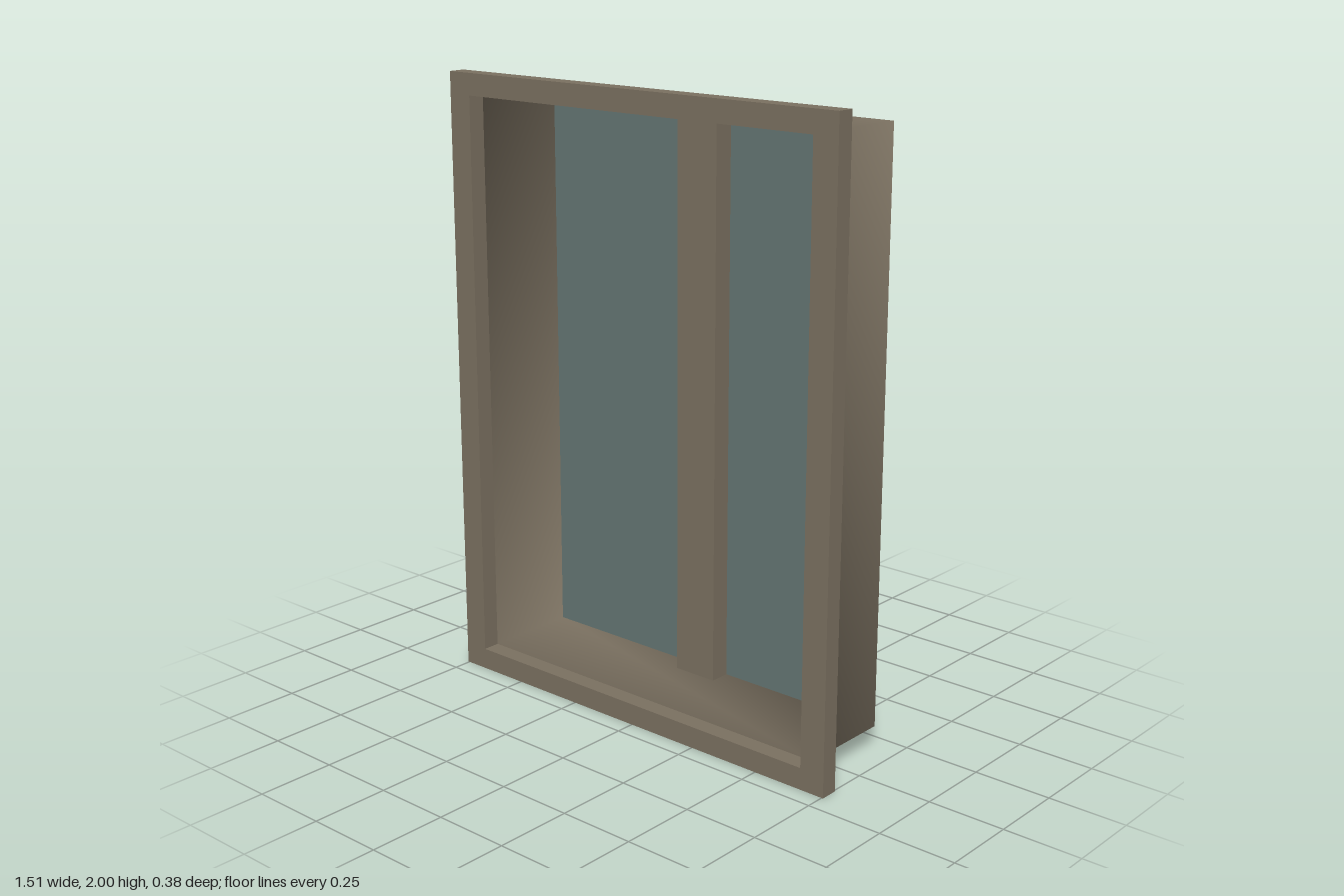
import * as THREE from 'three';

const W = 0.755, H = 1;            // half size of the outer frame
const w = 0.67, h = 0.93;          // half size of the opening
const FRONT = 0.188, LIP = 0.13, BACK = -0.188;
const POST = 0.077, POST_FRONT = -0.12;

const wood = new THREE.MeshStandardMaterial({ color: 0x7a7060, side: THREE.DoubleSide });
const pane = new THREE.MeshStandardMaterial({ color: 0x647572, side: THREE.DoubleSide });

function add(group, name, geometry, material = wood) {
  const mesh = new THREE.Mesh(geometry, material);
  mesh.name = name;
  group.add(mesh);
  return mesh;
}

// Open rectangular sleeve running from z0 (front) to z1 (back)
function sleeve(a, b, z0, z1, smooth) {
  const corners = [[a, b], [-a, b], [-a, -b], [a, -b]];
  const pos = [], index = [];
  corners.forEach(([x, y], i) => {
    pos.push(x, y, z0, x, y, z1);
    const p = i * 2, q = ((i + 1) % 4) * 2;
    index.push(p, p + 1, q, q, p + 1, q + 1);
  });
  let geo = new THREE.BufferGeometry();
  geo.setAttribute('position', new THREE.Float32BufferAttribute(pos, 3));
  geo.setIndex(index);
  if (!smooth) geo = geo.toNonIndexed();
  geo.computeVertexNormals();
  // Keep normals pointing away from the axis
  const n = geo.attributes.normal, p = geo.attributes.position;
  if (n.getX(0) * p.getX(0) + n.getY(0) * p.getY(0) < 0) {
    for (let i = 0; i < n.count; i++) n.setXYZ(i, -n.getX(i), -n.getY(i), -n.getZ(i));
    const flip = geo.index ? geo.index.array : null;
    if (flip) for (let i = 0; i < flip.length; i += 3) [flip[i], flip[i + 1]] = [flip[i + 1], flip[i]];
    else {
      for (const attr of [p, n]) for (let i = 0; i < attr.count; i += 3) {
        const t = [attr.getX(i), attr.getY(i), attr.getZ(i)];
        attr.setXYZ(i, attr.getX(i + 1), attr.getY(i + 1), attr.getZ(i + 1));
        attr.setXYZ(i + 1, ...t);
      }
    }
  }
  return geo;
}

function rect(target, a, b) {
  target.moveTo(-a, -b).lineTo(a, -b).lineTo(a, b).lineTo(-a, b).closePath();
  return target;
}

export function createModel() {
  const model = new THREE.Group();
  model.name = 'window';
  const body = new THREE.Group();
  body.name = 'windowBody';
  body.position.y = H;
  model.add(body);

  // Face of the frame, with the folded rim around it; the back is open
  const face = rect(new THREE.Shape(), W, H);
  face.holes.push(rect(new THREE.Path(), w, h));
  add(body, 'frameFace', new THREE.ShapeGeometry(face)).position.z = FRONT;
  add(body, 'frameRim', sleeve(W, H, FRONT, LIP, false));

  // Deep reveal behind the face
  add(body, 'revealLip', sleeve(w, h, FRONT, LIP, false));
  add(body, 'reveal', sleeve(w, h, LIP, BACK, true));

  // Centre post: a channel open to the back
  const depth = POST_FRONT - BACK;
  add(body, 'postFace', new THREE.PlaneGeometry(POST * 2, h * 2)).position.z = POST_FRONT;
  for (const s of [1, -1]) {
    const side = add(body, s > 0 ? 'postSideLeft' : 'postSideRight', new THREE.PlaneGeometry(depth, h * 2));
    side.rotation.y = s * Math.PI / 2;
    side.position.set(s * POST, 0, BACK + depth / 2);

    // Glass on each side of the post
    const glass = add(body, s > 0 ? 'glassLeft' : 'glassRight', new THREE.PlaneGeometry(w - POST, h * 2), pane);
    glass.position.set(s * (w + POST) / 2, 0, BACK);
  }
  return model;
}
